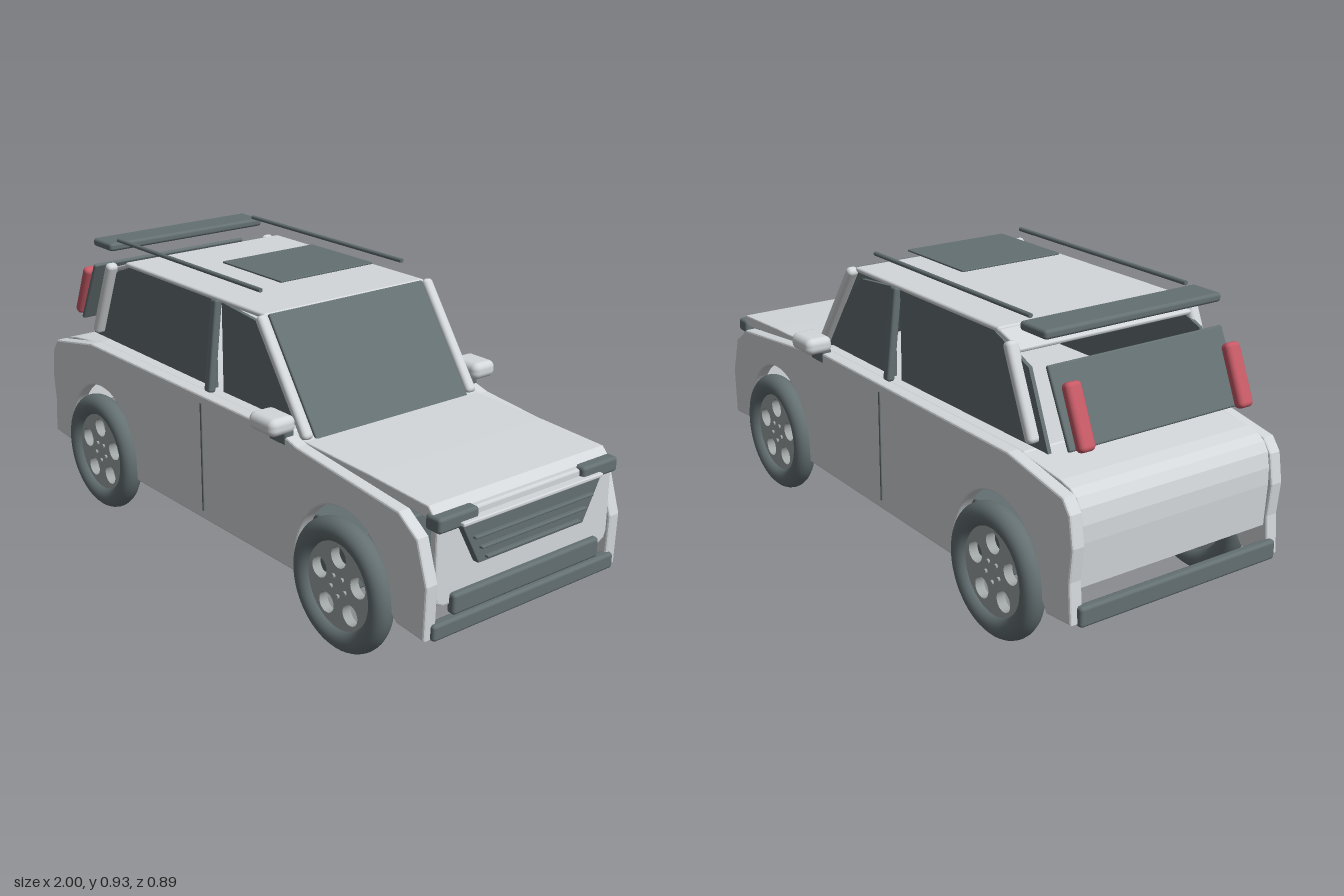
import * as THREE from 'three';
import { RoundedBoxGeometry } from 'three/addons/geometries/RoundedBoxGeometry.js';

const mat = (name, color) => {
  const m = new THREE.MeshStandardMaterial({ color });
  m.name = name;
  return m;
};

export function createModel() {
  const body = mat('silverPaint', 0xd3d7da);
  const dark = mat('darkTrim', 0x647072);
  const rimGrey = mat('rimGrey', 0x9fa4a4);
  const red = mat('redLens', 0xc65a66);
  const car = new THREE.Group();
  car.name = 'car';

  const add = (name, geo, m, parent = car) => {
    const mesh = new THREE.Mesh(geo, m);
    mesh.name = name;
    parent.add(mesh);
    return mesh;
  };
  // Rounded box given by its ranges along x, y and z
  const box = (name, m, x0, x1, y0, y1, z0, z1, r = 0.008) => {
    const s = [x1 - x0, y1 - y0, z1 - z0];
    const mesh = add(name, new RoundedBoxGeometry(...s, 3, Math.min(r, Math.min(...s) * 0.45)), m);
    mesh.position.set((x0 + x1) / 2, (y0 + y1) / 2, (z0 + z1) / 2);
    return mesh;
  };
  // Slanted slab running from one point to another in the side plane
  const slab = (name, m, [x0, y0], [x1, y1], thick, width, z) => {
    const len = Math.hypot(x1 - x0, y1 - y0);
    const mesh = add(name, new RoundedBoxGeometry(len, thick, width, 3, Math.min(thick, width) * 0.4), m);
    mesh.position.set((x0 + x1) / 2, (y0 + y1) / 2, z);
    mesh.rotation.z = Math.atan2(y1 - y0, x1 - x0);
    return mesh;
  };
  const shapeOf = pts => new THREE.Shape(pts.map(p => new THREE.Vector2(...p)));
  // Extrusion centred on z = 0
  const extrude = (shape, depth, bevel = 0) => {
    const g = new THREE.ExtrudeGeometry(shape, {
      depth: depth - 2 * bevel, curveSegments: 24, bevelEnabled: bevel > 0,
      bevelThickness: bevel, bevelSize: bevel, bevelOffset: -bevel, bevelSegments: 2,
    });
    return g.translate(0, 0, -depth / 2 + bevel);
  };

  // Side panel with two wheel arches
  const wheelX = [-0.65, 0.63];
  const panel = new THREE.Shape();
  panel.moveTo(-0.985, 0.18);
  panel.lineTo(-0.88, 0.17);
  panel.lineTo(-0.86, 0.2);
  panel.absellipse(wheelX[0], 0.2, 0.208, 0.235, Math.PI, 0, true);
  panel.lineTo(-0.44, 0.16);
  panel.lineTo(0.42, 0.16);
  panel.absellipse(wheelX[1], 0.2, 0.208, 0.235, Math.PI, 0, true);
  panel.lineTo(0.86, 0.18);
  [[0.97, 0.17], [0.975, 0.33], [0.935, 0.455], [0.86, 0.508], [0.43, 0.553], [0.35, 0.575], [-0.7, 0.575],
    [-0.94, 0.53], [-0.97, 0.49], [-0.985, 0.4], [-0.975, 0.3]].forEach(p => panel.lineTo(...p));
  const panelGeo = extrude(panel, 0.042, 0.006);

  // Wheel pieces
  const tireGeo = new THREE.TorusGeometry(0.165, 0.036, 20, 56);
  const disc = new THREE.Shape().absarc(0, 0, 0.135, 0, Math.PI * 2);
  for (let i = 0; i < 5; i++) {
    const a = Math.PI / 2 + i * Math.PI * 0.4;
    disc.holes.push(new THREE.Path().absarc(Math.cos(a) * 0.088, Math.sin(a) * 0.088, 0.032, 0, Math.PI * 2, true));
  }
  const discGeo = extrude(disc, 0.03);
  const nutGeo = new THREE.CylinderGeometry(0.007, 0.007, 0.008, 10).rotateX(Math.PI / 2);

  // Side window outlines
  const rearGlass = [[-0.79, 0.583], [-0.065, 0.578], [-0.065, 0.863], [-0.54, 0.863], [-0.7, 0.8]];
  const frontGlass = [[-0.02, 0.578], [0.39, 0.578], [0.22, 0.795], [0.16, 0.845], [-0.02, 0.863]];

  for (const s of [1, -1]) {
    add('sidePanel', panelGeo, body).position.z = s * 0.359;
    box('doorSeam', dark, -0.049, -0.041, 0.19, 0.55, s * 0.38 - 0.003, s * 0.38 + 0.003, 0.001);
    const sill = add('sill', new THREE.CylinderGeometry(0.011, 0.011, 0.89, 12).rotateZ(Math.PI / 2), dark);
    sill.position.set(-0.01, 0.163, s * 0.345);

    // Side glass, inset behind the pillars
    add('rearSideGlass', extrude(shapeOf(rearGlass), 0.012), dark).position.z = s * 0.306;
    add('frontSideGlass', extrude(shapeOf(frontGlass), 0.012), dark).position.z = s * 0.306;
    const centre = box('centrePillar', dark, -0.061, -0.029, 0.578, 0.87, s * 0.33 - 0.013, s * 0.33 + 0.013);
    centre.rotation.x = -s * 0.11;
    slab('rearPillar', body, [-0.74, 0.6], [-0.63, 0.858], 0.033, 0.04, s * 0.323);
    slab('frontPillar', body, [0.41, 0.555], [0.19, 0.872], 0.032, 0.036, s * 0.323);

    // Mirror, rail and lights
    box('mirror', body, 0.28, 0.4, 0.58, 0.634, s * 0.398 - 0.046, s * 0.398 + 0.046, 0.022);
    box('mirrorBase', dark, 0.3, 0.38, 0.54, 0.588, s * 0.365 - 0.017, s * 0.365 + 0.017);
    const rail = add('roofRail', new THREE.CylinderGeometry(0.007, 0.007, 0.79, 10).rotateZ(Math.PI / 2), dark);
    rail.position.set(-0.265, 0.927, s * 0.277);
    slab('tailLight', red, [-0.914, 0.625], [-0.84, 0.797], 0.036, 0.052, s * 0.283);
    box('headlight', dark, 0.925, 0.982, 0.473, 0.518, s * 0.275 - 0.072, s * 0.275 + 0.072, 0.01);

    // Wheels
    for (const x of wheelX) {
      const wheel = new THREE.Group();
      wheel.name = 'wheel';
      wheel.position.set(x, 0.201, s * 0.375);
      car.add(wheel);
      add('tire', tireGeo, dark, wheel);
      add('rim', discGeo, rimGrey, wheel);
      for (let i = 0; i < 5; i++) {
        const a = -Math.PI / 2 + i * Math.PI * 0.4;
        add('wheelNut', nutGeo, rimGrey, wheel).position.set(Math.cos(a) * 0.032, Math.sin(a) * 0.032, s * 0.018);
      }
    }
  }

  // Bonnet, nose and belt deck, and rear deck with tail as a bent sheet
  const bonnet = [[0.34, 0.572], [0.42, 0.556], [0.7, 0.549], [0.93, 0.538], [0.952, 0.515], [0.955, 0.5],
    [0.9, 0.502], [0.7, 0.52], [0.42, 0.536], [0.34, 0.552]].reverse();
  add('bonnet', extrude(shapeOf(bonnet), 0.68, 0.004), body);
  const nose = [[-0.31, 0.25], [0.31, 0.25], [0.332, 0.262], [0.34, 0.285], [0.34, 0.51], [-0.34, 0.51], [-0.34, 0.285], [-0.332, 0.262]];
  add('nose', extrude(shapeOf(nose), 0.025, 0.006).rotateY(Math.PI / 2), body).position.x = 0.953;
  box('beltDeck', body, -0.72, 0.36, 0.552, 0.572, -0.34, 0.34);
  const tail = [[-0.7, 0.57], [-0.88, 0.549], [-0.92, 0.538], [-0.945, 0.522], [-0.962, 0.495], [-0.971, 0.45], [-0.972, 0.4],
    [-0.965, 0.27], [-0.945, 0.265], [-0.95, 0.4], [-0.94, 0.48], [-0.925, 0.505], [-0.88, 0.525], [-0.7, 0.55]];
  add('rearDeckAndTail', extrude(shapeOf(tail), 0.68, 0.004), body);

  // Cabin top
  box('roof', body, -0.565, 0.195, 0.86, 0.876, -0.314, 0.314);
  slab('roofRearSlope', body, [-0.55, 0.867], [-0.655, 0.832], 0.014, 0.62, 0);
  slab('windscreen', dark, [0.418, 0.55], [0.195, 0.873], 0.012, 0.6, 0);
  slab('rearWindow', dark, [-0.873, 0.615], [-0.772, 0.825], 0.014, 0.62, 0);
  box('spoiler', dark, -0.77, -0.655, 0.892, 0.919, -0.312, 0.312, 0.01);
  box('sunroof', dark, -0.2, 0.1, 0.926, 0.932, -0.18, 0.18, 0.002);

  // Underbody and bumpers
  box('chassis', dark, -0.65, 0.63, 0.165, 0.335, -0.32, 0.32);
  box('frontBumper', dark, 0.95, 0.985, 0.165, 0.214, -0.357, 0.357, 0.01);
  box('frontBumperUpper', dark, 0.955, 0.985, 0.222, 0.284, -0.287, 0.287, 0.01);
  box('rearBumper', dark, -1, -0.97, 0.17, 0.23, -0.357, 0.357, 0.01);

  // Grille
  const grille = extrude(shapeOf([[-0.205, 0.355], [0.205, 0.355], [0.27, 0.48], [-0.27, 0.48]]), 0.024, 0.003);
  add('grille', grille.rotateY(Math.PI / 2), dark).position.x = 0.976;
  box('grilleTrim', body, 0.965, 0.995, 0.479, 0.491, -0.272, 0.272, 0.004);
  [[0.438, 0.23], [0.403, 0.205], [0.37, 0.183]].forEach(([y, w]) =>
    box('grilleBar', dark, 0.98, 1, y - 0.004, y + 0.004, -w, w, 0.003));

  return car;
}
